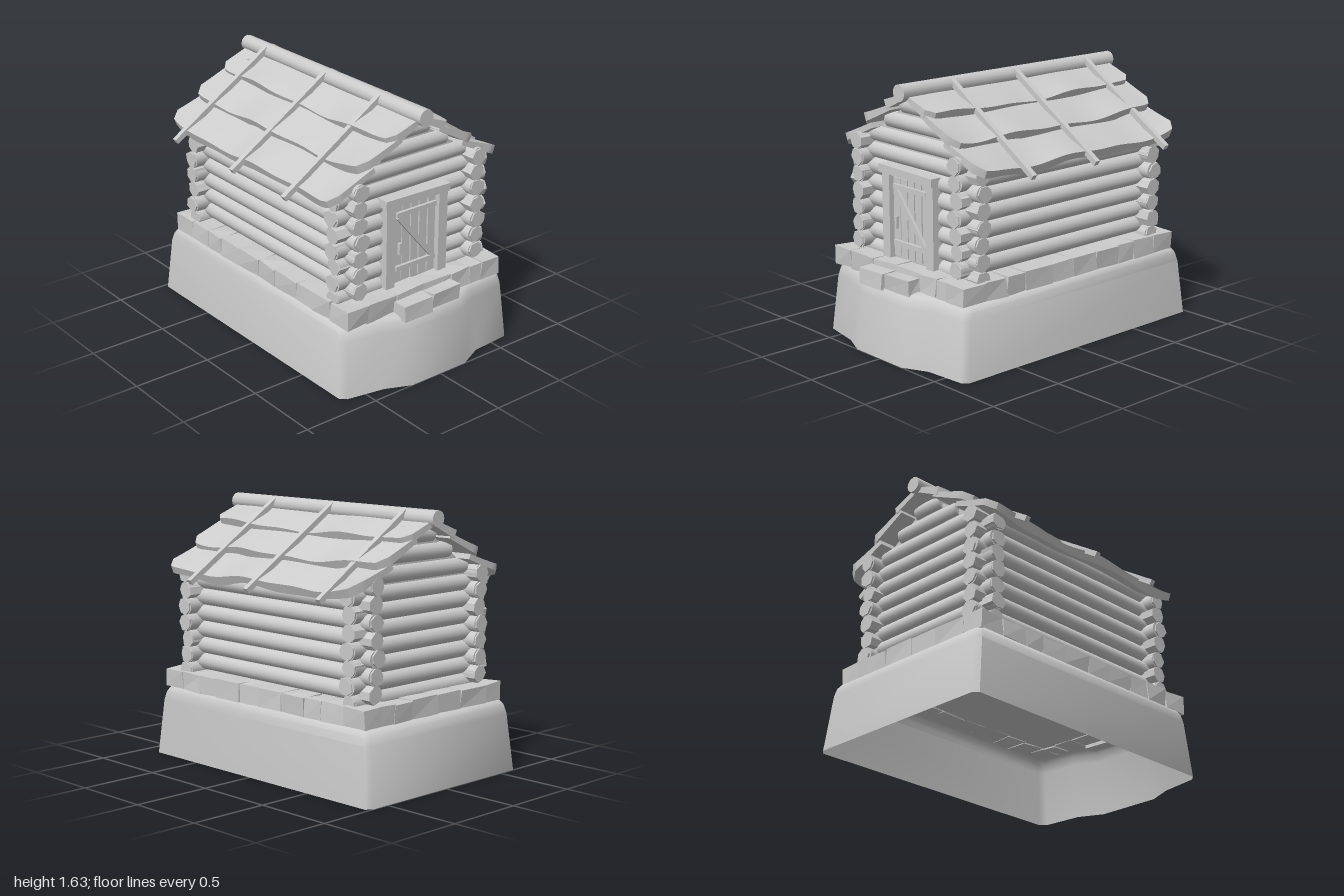
import * as THREE from 'three';
import { toCreasedNormals } from 'three/addons/utils/BufferGeometryUtils.js';

const smooth = new THREE.MeshStandardMaterial({ color: 0xcccccc });
const flat = new THREE.MeshStandardMaterial({ color: 0xcccccc, flatShading: true });
const thin = new THREE.MeshStandardMaterial({ color: 0xcccccc, side: THREE.DoubleSide });

// Seeded random in -1..1
let seed = 7;
const rnd = () => {
  seed = (seed * 16807) % 2147483647;
  return (seed / 2147483647) * 2 - 1;
};

function add(parent, name, geometry, material, x = 0, y = 0, z = 0) {
  const mesh = new THREE.Mesh(geometry, material);
  mesh.name = name;
  mesh.position.set(x, y, z);
  parent.add(mesh);
  return mesh;
}

function box(parent, name, w, h, d, x, y, z) {
  return add(parent, name, new THREE.BoxGeometry(w, h, d), flat, x, y, z);
}

// Moves all vertices sharing a position by the same rule
function deform(geometry, rule) {
  const p = geometry.attributes.position, v = new THREE.Vector3();
  for (let i = 0; i < p.count; i++) {
    rule(v.fromBufferAttribute(p, i));
    p.setXYZ(i, v.x, v.y, v.z);
  }
  return geometry;
}

// Rough stone block: a box with each corner shifted
function stone(parent, w, h, d, x, y, z) {
  const shift = {};
  const g = deform(new THREE.BoxGeometry(w, h, d), (v) => {
    const key = [v.x, v.y, v.z].map(Math.sign).join();
    shift[key] ??= [rnd() * 0.008, rnd() * 0.006, rnd() * 0.008];
    v.add(new THREE.Vector3(...shift[key]));
  });
  add(parent, 'stone', g, flat, x, y, z);
}

// Log along x with irregular seven-sided ends
function log(parent, length, x, y, z, alongZ, ends = true) {
  const g = new THREE.Group();
  g.name = 'log';
  g.position.set(x, y, z);
  if (alongZ) g.rotation.y = Math.PI / 2;
  parent.add(g);
  const body = new THREE.CylinderGeometry(0.053, 0.053, length - (ends ? 0.02 : 0), 14).rotateZ(Math.PI / 2);
  add(g, 'logBody', toCreasedNormals(body, 0.8), smooth);
  if (!ends) return;
  for (const s of [-1, 1]) {
    const k = Array.from({ length: 7 }, () => 1 + rnd() * 0.12);
    const stub = deform(new THREE.CylinderGeometry(0.053, 0.053, 0.11, 7), (v) => {
      const r = Math.hypot(v.x, v.z);
      if (r < 0.01) return;
      const f = k[Math.round((Math.atan2(v.x, v.z) + 7) / (Math.PI * 2) * 7) % 7];
      v.x *= f;
      v.z *= f;
    }).rotateZ(Math.PI / 2);
    add(g, 'logEnd', stub, flat, s * (length / 2 - 0.055), 0, rnd() * 0.012);
  }
}

// Hollow mound from inset copies of one outline
function mound() {
  const outline = [[-1, -0.62], [-0.97, -0.655], [0.87, -0.655], [0.905, -0.62], [0.925, -0.36], [1, -0.2],
    [1, 0.22], [0.93, 0.38], [0.885, 0.62], [0.85, 0.655], [-0.97, 0.655], [-1, 0.62]];
  const levels = [[0, 0], [0.35, 0.04], [0.4, 0.055], [0.425, 0.075], [0.435, 0.11]];
  const n = outline.length, pos = [], index = [];
  for (const [y, inset] of levels)
    for (const [x, z] of outline) pos.push(x * (1 - inset), y, z * (1 - inset));
  for (let j = 0; j < levels.length - 1; j++)
    for (let i = 0; i < n; i++) {
      const a = j * n + i, b = j * n + (i + 1) % n;
      index.push(a, a + n, b, b, a + n, b + n);
    }
  const centre = pos.length / 3, top = (levels.length - 1) * n;
  pos.push(0, 0.435, 0);
  for (let i = 0; i < n; i++) index.push(top + i, centre, top + (i + 1) % n);
  const g = new THREE.BufferGeometry();
  g.setAttribute('position', new THREE.Float32BufferAttribute(pos, 3));
  g.setIndex(index);
  return toCreasedNormals(g, 0.85);
}

// Wavy roof sheet from an upper (z, y) to a lower (z, y) edge, with rounded lower corners
function roofSheet(z0, y0, z1, y1, width, phase) {
  const g = new THREE.BoxGeometry(2, 1, 1, 36, 1, 6);
  deform(g, (p) => {
    const u = p.x, v = p.z + 0.5, under = p.y < 0, e = Math.abs(u);
    const corner = Math.max(0, (e - 0.9) / 0.1);
    const t = v * (1 - 0.2 * v * corner ** 3);
    const wave = Math.sin(u * 5.5 + phase) + 0.5 * Math.sin(u * 11 + phase * 2);
    const thick = 0.035 + v * (0.018 + 0.009 * Math.sin(u * 9 + phase * 3));
    p.x = u * width / 2;
    p.z = z0 + (z1 - z0) * t + v * 0.008 * Math.sin(u * 7 + phase);
    p.y = y0 + (y1 - y0) * t + v * (0.012 * wave + 0.022 * e ** 4);
    if (under) {
      p.y -= thick * 0.88;
      p.z -= thick * 0.35;
    }
  });
  return toCreasedNormals(g, 0.7);
}

export function createModel() {
  seed = 7;
  const model = new THREE.Group();
  const group = (name) => {
    const g = new THREE.Group();
    g.name = name;
    model.add(g);
    return g;
  };

  add(model, 'mound', mound(), thin);

  // Stone foundation
  const base = group('foundation');
  box(base, 'floor', 1.5, 0.1, 0.95, -0.025, 0.485, 0);
  const xs = [-0.91, -0.735, -0.555, -0.41, -0.22, -0.02, 0.15, 0.37, 0.52, 0.69, 0.86];
  const zs = [-0.46, -0.35, -0.2, 0.02, 0.23, 0.46];
  for (const s of [-1, 1])
    for (let i = 0; i < xs.length - 1; i++)
      stone(base, xs[i + 1] - xs[i], 0.115, 0.15, (xs[i] + xs[i + 1]) / 2, 0.487, s * 0.52);
  for (const x of [-0.83, 0.775])
    for (let i = 0; i < zs.length - 1; i++)
      stone(base, 0.16, 0.115, zs[i + 1] - zs[i], x, 0.487, (zs[i] + zs[i + 1]) / 2);
  stone(base, 0.12, 0.1, 0.22, 0.89, 0.455, 0.135);
  stone(base, 0.1, 0.1, 0.22, 0.89, 0.46, -0.09);

  // Log walls: long logs and gable logs interlock at half a step
  const walls = group('logWalls');
  for (let i = 0; i < 7; i++)
    for (const s of [-1, 1]) log(walls, 1.66 + rnd() * 0.015, -0.035, 0.605 + i * 0.103, s * 0.45, false);
  for (const x of [-0.75, 0.68]) {
    for (let i = 0; i < 7; i++) log(walls, 1.14 + rnd() * 0.02, x, 0.552 + i * 0.102, 0, true);
    [0.4, 0.255, 0.11].forEach((half, i) => log(walls, half * 2, x, 1.268 + i * 0.106, 0, true, false));
    // Backing that closes the gable tip
    const tri = new THREE.Shape([[-0.5, 1.2], [0.5, 1.2], [0, 1.54]].map((p) => new THREE.Vector2(...p)));
    const gable = new THREE.ExtrudeGeometry(tri, { depth: 0.04, bevelEnabled: false });
    gable.translate(0, 0, -0.02).rotateY(Math.PI / 2);
    add(walls, 'gableBacking', gable, flat, x);
  }

  // Door in the gable facing +x
  const door = group('door');
  for (const z of [0.205, -0.197]) box(door, 'doorPost', 0.08, 0.52, 0.066, 0.73, 0.8, z);
  box(door, 'lintel', 0.1, 0.05, 0.49, 0.735, 1.085, 0.01).rotation.x = -0.02;
  box(door, 'doorBack', 0.04, 0.5, 0.34, 0.7, 0.8, 0);
  for (let i = 0; i < 5; i++)
    box(door, 'doorPlank', 0.03, 0.49 + rnd() * 0.012, 0.058 + rnd() * 0.004, 0.727, 0.8, 0.134 - i * 0.066);
  for (const y of [0.645, 0.99]) box(door, 'doorBrace', 0.02, 0.03, 0.3, 0.75, y, 0);
  box(door, 'diagonalBrace', 0.018, 0.032, 0.42, 0.75, 0.815, 0).rotation.x = -Math.atan2(0.32, 0.27);
  box(door, 'doorHandle', 0.02, 0.075, 0.018, 0.755, 0.77, 0.124);

  // Roof: three overlapping sheets on each slope
  const roof = group('roof');
  const sheets = [
    [0.34, 1.345, 0.645, 1.2, 1.64, 0.4],
    [0.15, 1.485, 0.445, 1.335, 1.66, 2.1],
    [0, 1.575, 0.245, 1.468, 1.67, 3.9],
  ];
  for (const s of [1, -1])
    for (const [z0, y0, z1, y1, w, phase] of sheets) {
      const sheet = add(roof, 'roofSheet', roofSheet(z0, y0, z1, y1, w, phase + (s < 0 ? 1.3 : 0)), smooth, -0.05);
      if (s < 0) sheet.rotation.y = Math.PI;
    }

  // Ridge log
  const ridge = new THREE.CylinderGeometry(0.05, 0.052, 1.74, 12).rotateZ(Math.PI / 2);
  add(roof, 'ridgeLog', toCreasedNormals(ridge, 0.8), smooth, -0.045, 1.58, 0);

  // Poles holding the sheets down
  for (const x of [-0.675, -0.07, 0.44])
    for (const s of [-1, 1]) {
      const pole = box(roof, 'roofPole', 0.033, 0.034, 0.84, x, 1.378, s * 0.378);
      pole.rotation.x = s * Math.atan2(0.455, 0.7);
    }
  return model;
}
